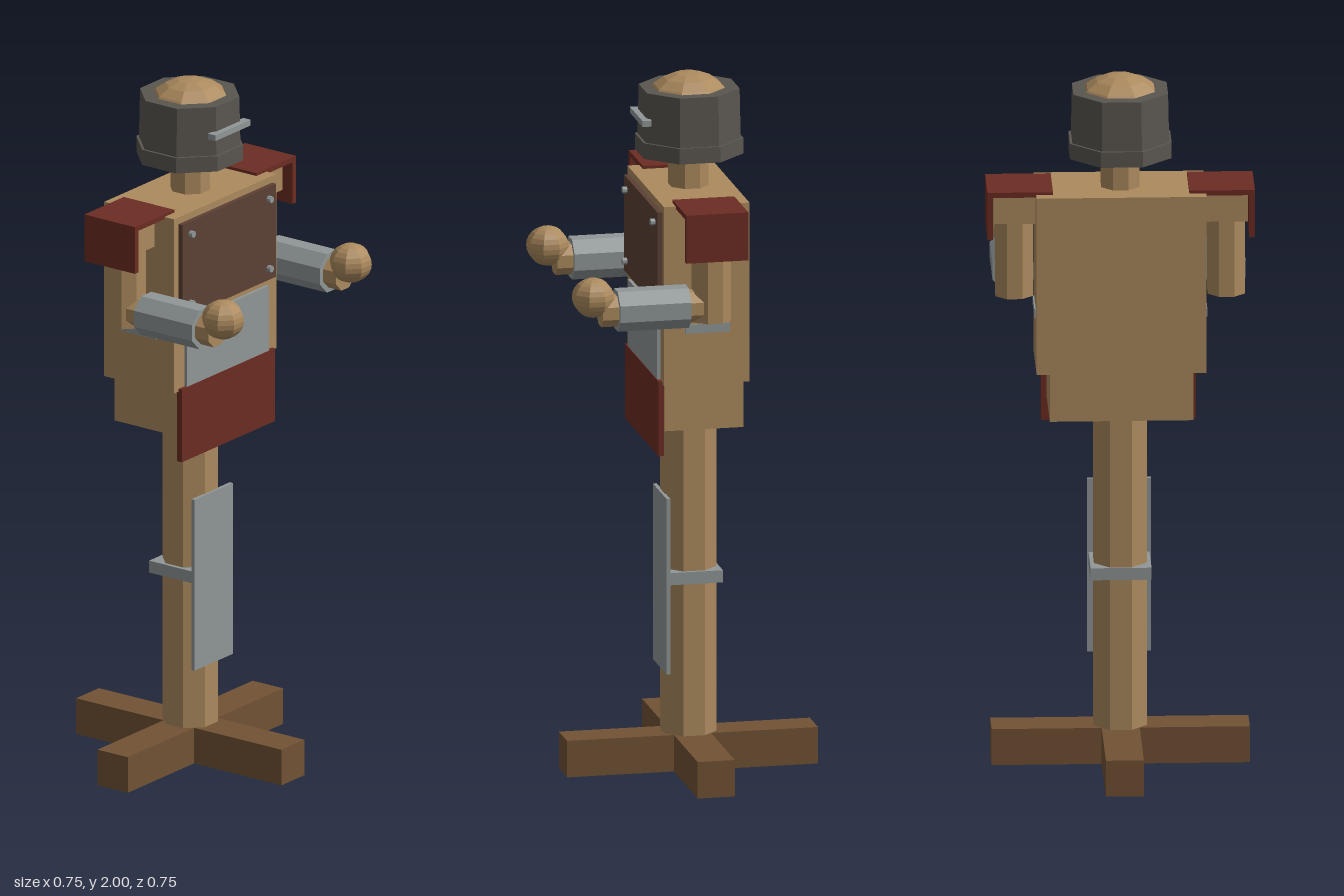
import * as THREE from 'three';

const material = (name, color) => {
  const m = new THREE.MeshStandardMaterial({ color });
  m.name = name;
  return m;
};

const AXIS_Z = -0.018; // depth of the post's centre line
const OCT = Math.cos(Math.PI / 8); // apothem of a unit octagon

export function createModel() {
  const wood = material('pale wood', 0xac8a5e);
  const darkWood = material('dark wood', 0x725234);
  const leather = material('brown leather', 0x5c4034);
  const cloth = material('red cloth', 0x6c2c22);
  const steel = material('steel', 0x909696);
  const iron = material('dark iron', 0x5a5650);

  const model = new THREE.Group();
  model.name = 'trainingDummy';

  const add = (name, geometry, mat, parent = model) => {
    const mesh = new THREE.Mesh(geometry, mat);
    mesh.name = name;
    parent.add(mesh);
    return mesh;
  };

  // Box given by its limits on each axis
  const box = (name, mat, [x0, x1], [y0, y1], [z0, z1], parent) => {
    const g = new THREE.BoxGeometry(x1 - x0, y1 - y0, z1 - z0);
    g.translate((x0 + x1) / 2, (y0 + y1) / 2, (z0 + z1) / 2);
    return add(name, g, mat, parent);
  };

  // Give every face its own flat normal
  const facet = (g) => {
    const flat = g.toNonIndexed();
    flat.computeVertexNormals();
    return flat;
  };

  // Eight-sided prism, flats facing the axes; apothem is half its width
  const octagon = (apothem, length) => {
    const r = apothem / OCT;
    return facet(new THREE.CylinderGeometry(r, r, length, 8).rotateY(Math.PI / 8));
  };

  // Eight-sided ball
  const ball = (radius) =>
    facet(new THREE.SphereGeometry(radius, 8, 12).rotateY(Math.PI / 8).scale(1 / OCT, 1, 1 / OCT));

  // Crossed feet
  box('footBarSide', darkWood, [-0.36, 0.36], [0, 0.105], [-0.071, 0.035]);
  box('footBarDepth', darkWood, [-0.053, 0.053], [0, 0.105], [-0.376, 0.34]);

  // Post with strapped shin guard
  add('post', octagon(0.074, 0.94), wood).position.set(0, 0.56, AXIS_Z);
  box('shinGuard', steel, [-0.089, 0.089], [0.29, 0.795], [0.053, 0.064]);
  box('shinStrap', steel, [-0.085, 0.085], [0.545, 0.58], [-0.098, 0.058]);

  // Body
  box('hips', wood, [-0.2, 0.2], [1.02, 1.165], [-0.131, 0.095]);
  box('torso', wood, [-0.237, 0.237], [1.16, 1.675], [-0.14, 0.104]);
  box('chestPlate', leather, [-0.217, 0.217], [1.38, 1.655], [0.1, 0.118]);
  box('bellyPlate', steel, [-0.19, 0.19], [1.165, 1.36], [0.1, 0.113]);
  box('apron', cloth, [-0.216, 0.216], [0.953, 1.168], [0.099, 0.115]);

  // Neck, head and open-topped helmet
  add('neck', octagon(0.053, 0.12), wood).position.set(0, 1.725, AXIS_Z);
  add('head', ball(0.13), wood).position.set(0, 1.87, AXIS_Z);

  const helmetProfile = [
    [0.095, 1.77], [0.142, 1.77], [0.142, 1.815], [0.135, 1.815],
    [0.132, 1.957], [0.088, 1.957], [0.095, 1.77],
  ].map(([r, y]) => new THREE.Vector2(r / OCT, y));
  add('helmet', facet(new THREE.LatheGeometry(helmetProfile, 8, Math.PI / 8)), iron).position.z = -0.02;
  box('visorBar', steel, [-0.082, 0.082], [1.868, 1.885], [0.105, 0.131]);

  // Arms, pads, rivets and side buckles, one set per side
  for (const [label, s] of [['left', 1], ['right', -1]]) {
    const arm = new THREE.Group();
    arm.name = label + 'Arm';
    model.add(arm);
    const span = (a, b) => (s > 0 ? [a, b] : [-b, -a]);
    const x = 0.296 * s;

    box('shoulder', wood, span(0.23, 0.355), [1.58, 1.672], [-0.07, 0.036], arm);
    add('upperArm', octagon(0.052, 0.24), wood, arm).position.set(x, 1.48, AXIS_Z);

    const forearm = add('forearm', octagon(0.043, 0.32), wood, arm);
    forearm.rotation.x = Math.PI / 2;
    forearm.position.set(x, 1.403, 0.14);
    const bracer = add('bracer', octagon(0.057, 0.203), steel, arm);
    bracer.rotation.x = Math.PI / 2;
    bracer.position.set(x, 1.403, 0.1525);
    add('hand', ball(0.056), wood, arm).position.set(x, 1.442, 0.319);

    box('shoulderPadTop', cloth, span(0.19, 0.373), [1.668, 1.683], [-0.107, 0.07], arm);
    box('shoulderPadSide', cloth, span(0.357, 0.373), [1.545, 1.683], [-0.107, 0.07], arm);

    box(label + 'SideBuckle', steel, span(0.232, 0.241), [1.308, 1.334], [-0.083, 0.044]);
    for (const y of [1.415, 1.62]) {
      const rivet = add('rivet', octagon(0.009, 0.03), steel);
      rivet.rotation.x = Math.PI / 2;
      rivet.position.set(0.181 * s, y, 0.116);
    }
  }

  return model;
}
